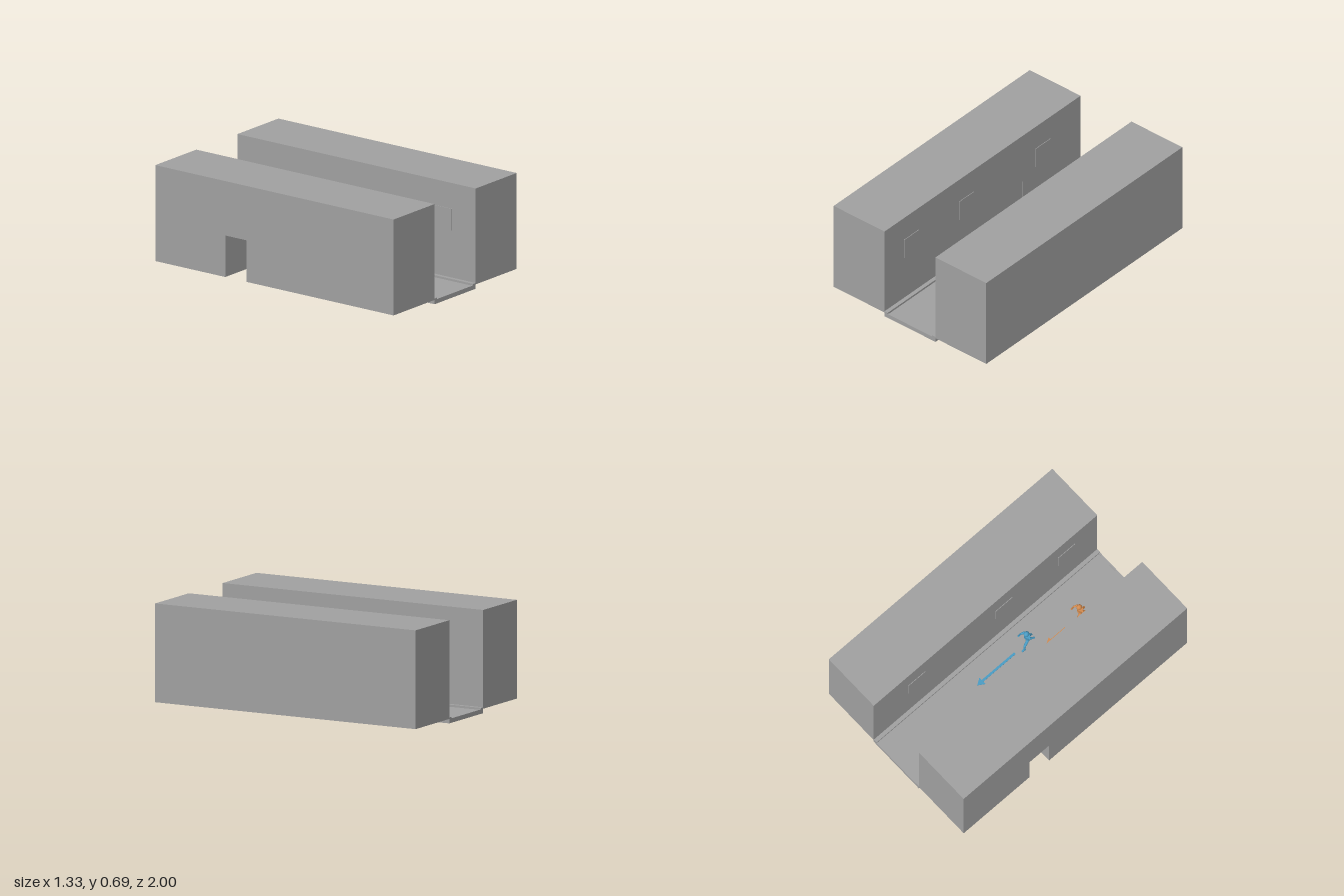
import * as THREE from 'three';

const stone = new THREE.MeshStandardMaterial({ color: 0xa0a0a0 });
stone.name = 'stone grey';
const orange = new THREE.MeshStandardMaterial({ color: 0xd18a4f });
orange.name = 'walker orange';
const blue = new THREE.MeshStandardMaterial({ color: 0x4a9cc4 });
blue.name = 'walker blue';

function add(parent, name, geometry, material, x = 0, y = 0, z = 0) {
  const mesh = new THREE.Mesh(geometry, material);
  mesh.name = name;
  mesh.position.set(x, y, z);
  parent.add(mesh);
  return mesh;
}

// Box given by its lower and upper corners
function block(parent, name, material, a, b) {
  const size = a.map((v, i) => b[i] - v);
  const mid = a.map((v, i) => (b[i] + v) / 2);
  return add(parent, name, new THREE.BoxGeometry(...size), material, ...mid);
}

// Tapered limb segment between two points, with a round joint at its end
function limb(parent, name, material, a, b, r0, r1) {
  const p = new THREE.Vector3(...a), q = new THREE.Vector3(...b);
  const dir = q.clone().sub(p);
  const mesh = add(parent, name, new THREE.CylinderGeometry(r1, r0, dir.length(), 12), material);
  mesh.position.copy(p).add(q).multiplyScalar(0.5);
  mesh.quaternion.setFromUnitVectors(new THREE.Vector3(0, 1, 0), dir.normalize());
  add(parent, name + 'Joint', new THREE.SphereGeometry(r1 * 1.08, 12, 8), material, ...b);
}

// Walking figure facing -z, standing at the local origin
function walker(name, material) {
  const g = new THREE.Group();
  g.name = name;
  add(g, 'head', new THREE.SphereGeometry(0.018, 20, 14), material, 0, 0.207, -0.004).scale.set(1, 1.28, 1.1);
  add(g, 'neck', new THREE.CylinderGeometry(0.007, 0.007, 0.02, 12), material, 0, 0.182, 0);
  add(g, 'torso', new THREE.CylinderGeometry(0.027, 0.021, 0.056, 20), material, 0, 0.15, 0).scale.z = 0.65;
  add(g, 'hips', new THREE.SphereGeometry(0.021, 16, 10), material, 0, 0.122, 0).scale.set(1, 0.6, 0.75);
  for (const s of [-1, 1]) {
    const side = s < 0 ? 'right' : 'left';
    // The leg on -x and the arm on +x swing forward
    const knee = s < 0 ? [-0.021, 0.078, -0.038] : [0.02, 0.076, 0.018];
    const ankle = s < 0 ? [-0.024, 0.036, -0.044] : [0.026, 0.036, 0.06];
    limb(g, side + 'Thigh', material, [s * 0.012, 0.122, 0], knee, 0.011, 0.0085);
    limb(g, side + 'Shin', material, knee, ankle, 0.0085, 0.006);
    add(g, side + 'Foot', new THREE.BoxGeometry(0.013, 0.011, 0.028), material,
      ankle[0], 0.031, ankle[2] - 0.007);
    add(g, side + 'Shoulder', new THREE.SphereGeometry(0.009, 12, 8), material, s * 0.028, 0.17, 0);
    const elbow = s < 0 ? [-0.038, 0.153, 0.03] : [0.04, 0.156, -0.018];
    const hand = s < 0 ? [-0.031, 0.16, 0.008] : [0.036, 0.166, -0.042];
    limb(g, side + 'UpperArm', material, [s * 0.028, 0.17, 0], elbow, 0.008, 0.0065);
    limb(g, side + 'Forearm', material, elbow, hand, 0.0065, 0.0055);
  }
  return g;
}

// Flat arrow on the floor pointing to -z
function arrow(parent, name, material, x, tail, neck, tip, halfHead) {
  const w = 0.008;
  const pts = [[w, tail], [w, neck], [halfHead, neck], [0, tip], [-halfHead, neck], [-w, neck], [-w, tail]];
  const shape = new THREE.Shape(pts.map(([px, pz]) => new THREE.Vector2(px, -pz)));
  const geo = new THREE.ExtrudeGeometry(shape, { depth: 0.003, bevelEnabled: false });
  geo.rotateX(-Math.PI / 2);
  add(parent, name, geo, material, x, 0.026, 0);
}

export function createModel() {
  const root = new THREE.Group();
  root.name = 'alley';
  const wall = 0.222, outer = 0.665, base = 0.03, top = 0.695;

  // Street with kerbs along both sides and a low lip at each end
  block(root, 'street', stone, [-wall, 0, -1], [wall, 0.026, 1]);
  for (const s of [-1, 1]) {
    add(root, 'kerb', new THREE.BoxGeometry(0.028, 0.014, 2), stone, s * 0.208, 0.033, 0);
    add(root, 'streetEnd', new THREE.BoxGeometry(0.388, 0.004, 0.012), stone, 0, 0.028, s * 0.994);
  }

  // Solid building
  block(root, 'leftBuilding', stone, [wall, base, -1], [outer, top, 1]);

  // Building with a doorway passing through it
  const d0 = -0.412, d1 = -0.236, dTop = 0.318;
  const side = new THREE.Shape([
    [-1, base], [d0, base], [d0, dTop], [d1, dTop], [d1, base], [1, base], [1, top], [-1, top],
  ].map((p) => new THREE.Vector2(...p)));
  const shell = new THREE.ExtrudeGeometry(side, { depth: outer - wall, bevelEnabled: false });
  shell.rotateY(-Math.PI / 2);
  add(root, 'rightBuilding', shell, stone, -wall, 0, 0);
  block(root, 'door', stone, [-0.234, base, d0], [-0.224, dTop, d1]);
  add(root, 'doorKnob', new THREE.SphereGeometry(0.005, 12, 8), stone, -0.219, 0.165, -0.285);

  // Window plates facing the street
  for (const s of [-1, 1]) {
    for (const z of [-0.615, 0.165, 0.725]) {
      add(root, 'window', new THREE.BoxGeometry(0.008, 0.152, 0.15), stone, s * wall, 0.441, z);
    }
  }

  // Walkers and their direction arrows
  const first = walker('orangeWalker', orange);
  first.position.set(-0.046, 0, 0.6);
  const second = walker('blueWalker', blue);
  second.position.set(0.048, 0, 0.213);
  root.add(first, second);
  arrow(root, 'orangeArrow', orange, -0.046, 0.475, 0.345, 0.3, 0.026);
  arrow(root, 'blueArrow', blue, 0.048, 0.105, -0.185, -0.232, 0.03);
  return root;
}
